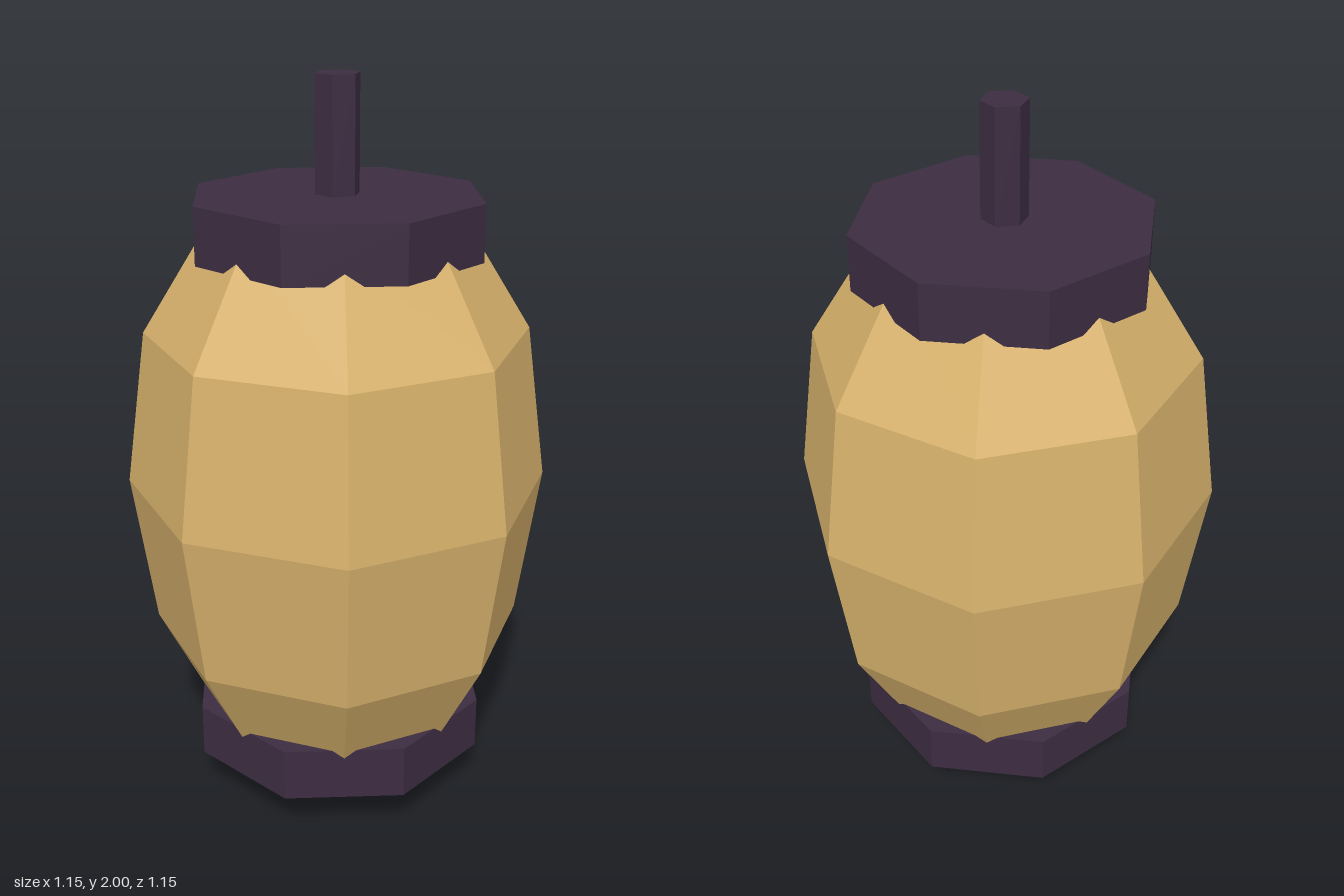
import * as THREE from 'three';

export function createModel() {
  const model = new THREE.Group();
  const paper = new THREE.MeshStandardMaterial({ color: 0xd8b26c, flatShading: true });
  paper.name = 'golden paper';
  const wood = new THREE.MeshStandardMaterial({ color: 0x3d2d42, flatShading: true });
  wood.name = 'dark purple wood';

  const add = (name, geometry, material) => {
    const mesh = new THREE.Mesh(geometry, material);
    mesh.name = name;
    model.add(mesh);
  };

  // Upright prism between two heights
  const prism = (name, radius, y0, y1, sides, turn = 0) => {
    const geometry = new THREE.CylinderGeometry(radius, radius, y1 - y0, sides, 1, false, turn);
    geometry.translate(0, (y0 + y1) / 2, 0);
    add(name, geometry, wood);
  };

  // Bulging eight-sided shade, closed inside the two caps
  const profile = [
    [0, 0.2], [0.365, 0.2], [0.515, 0.488], [0.575, 0.912],
    [0.515, 1.335], [0.335, 1.625], [0, 1.625],
  ].map(([r, y]) => new THREE.Vector2(r, y));
  add('lanternShade', new THREE.LatheGeometry(profile, 8), paper);

  // Octagonal caps with flat sides facing the axes
  prism('topCap', 0.392, 1.55, 1.7, 8, Math.PI / 8);
  prism('bottomCap', 0.423, 0.125, 0.275, 8, Math.PI / 8);

  // Hexagonal hanging rod and bottom stub
  prism('hangingRod', 0.06, 1.69, 2, 6);
  prism('bottomStub', 0.09, 0, 0.135, 6);

  return model;
}
